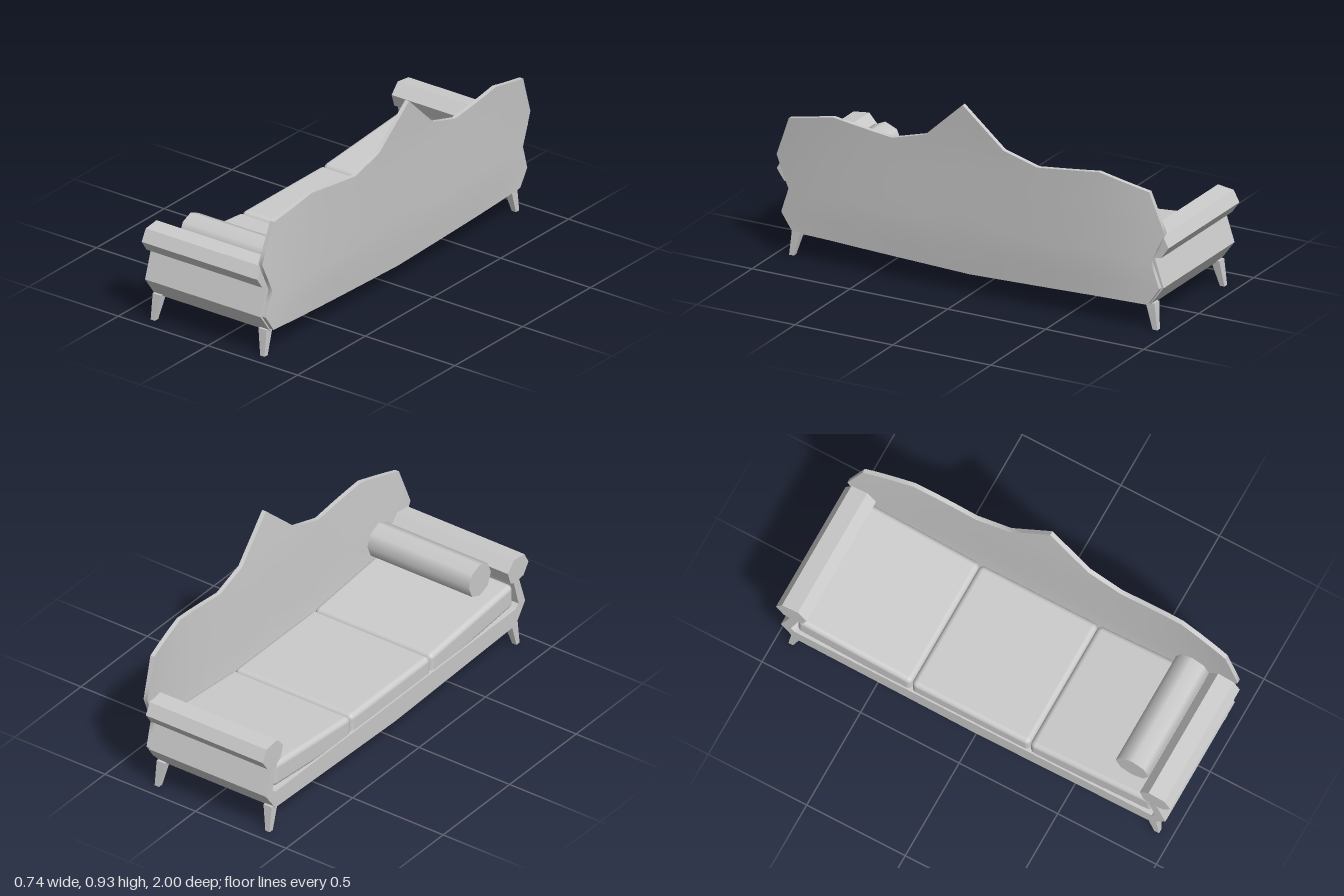
import * as THREE from 'three';
import { toCreasedNormals } from 'three/addons/utils/BufferGeometryUtils.js';
import { RoundedBoxGeometry } from 'three/addons/geometries/RoundedBoxGeometry.js';

const material = new THREE.MeshStandardMaterial({ color: 0xcccccc });

function addMesh(group, name, geometry) {
  const mesh = new THREE.Mesh(geometry, material);
  mesh.name = name;
  group.add(mesh);
  return mesh;
}

// Move every vertex by a rule
function reshape(geometry, rule) {
  const pos = geometry.attributes.position;
  const p = new THREE.Vector3();
  for (let i = 0; i < pos.count; i++) {
    p.fromBufferAttribute(pos, i);
    rule(p);
    pos.setXYZ(i, p.x, p.y, p.z);
  }
  return geometry;
}

// Piecewise linear lookup through [key, value] pairs
function lookup(points, t) {
  for (let i = 1; i < points.length; i++) {
    const [a, va] = points[i - 1], [b, vb] = points[i];
    if (t <= b) return va + (vb - va) * Math.max(0, (t - a) / (b - a));
  }
  return points[points.length - 1][1];
}

// Frame: base and both scroll arms as one extruded cross-section
function frameGeometry() {
  const half = [
    [0.905, 0.115], [0.975, 0.21], [0.93, 0.347], [0.963, 0.352], [1.0, 0.405], [0.97, 0.46],
    [0.89, 0.47], [0.845, 0.42], [0.865, 0.36], [0.89, 0.347], [0.925, 0.22], [0.905, 0.2],
  ];
  const mirrored = half.map(([z, y]) => [-z, y]).reverse();
  const outline = [[0, 0.09], ...half, ...mirrored].map(([z, y]) => new THREE.Vector2(z, y));
  const g = new THREE.ExtrudeGeometry(new THREE.Shape(outline), { depth: 0.645, bevelEnabled: false });
  return g.rotateY(-Math.PI / 2).translate(0.275, 0, 0);
}

// Backrest: thin slab with a waved top, a pointed crest and notched sides
function backGeometry() {
  const W = 0.92, bottomEnd = 0.13, topEnd = 0.67;
  const top = [[0, 0.93], [0.2, 0.745], [0.37, 0.695], [0.68, 0.73], [W, topEnd]];
  const halfWidth = [[0.13, 0.91], [0.21, 0.965], [0.33, 0.925], [0.48, 0.99], [0.67, W]];
  const lean = [[0.1, 0.285], [0.28, 0.305], [0.7, 0.326], [0.93, 0.345]];
  const rightHalf = [0, 0.07, 0.135, 0.2, 0.285, 0.37, 0.48, 0.58, 0.68, 0.77, 0.85, W];
  const columns = [...rightHalf.slice(1).map((z) => -z).reverse(), ...rightHalf];
  const rows = [0.13, 0.17, 0.21, 0.27, 0.33, 0.405, 0.48, 0.54, 0.61, 0.67];
  const nu = columns.length - 1, nv = rows.length - 1;
  const g = reshape(new THREE.BoxGeometry(1, 1, 1, 1, nv, nu), (p) => {
    const s = columns[Math.round((p.z + 0.5) * nu)];
    const row = rows[Math.round((p.y + 0.5) * nv)];
    const v = (row - bottomEnd) / (topEnd - bottomEnd);
    const u = Math.abs(s) / W;
    const low = 0.1 + 0.03 * u;
    const outer = p.x > 0;
    p.y = low + (lookup(top, Math.abs(s)) - low) * v;
    p.z = (s / W) * lookup(halfWidth, row);
    const bow = 1 - Math.min(1, Math.abs(p.z)) ** 4;
    p.x = 0.272 + (lookup(lean, p.y) - 0.272) * bow + (outer ? 0.021 : 0);
  });
  return toCreasedNormals(g, 0.8);
}

// Seat cushion whose outer end rises towards the arm
function cushionGeometry(z0, z1) {
  const g = new RoundedBoxGeometry(0.65, 0.12, z1 - z0, 3, 0.025);
  g.translate(-0.037, 0.222, (z0 + z1) / 2);
  reshape(g, (p) => {
    p.y += 0.085 * Math.max(0, Math.abs(p.z) - 0.3);
  });
  // carry the tilt into the normals
  const pos = g.attributes.position, n = g.attributes.normal, v = new THREE.Vector3();
  const mid = (z0 + z1) / 2;
  const slope = Math.abs(mid) > 0.3 ? 0.085 * Math.sign(mid) : 0;
  for (let i = 0; i < pos.count; i++) {
    v.fromBufferAttribute(n, i);
    v.z -= slope * v.y;
    v.normalize();
    n.setXYZ(i, v.x, v.y, v.z);
  }
  return g;
}

// Leg: straight outer faces, inner faces tapering to the foot
function legGeometry(sx, sz) {
  const edge = sx < 0 ? -0.365 : 0.27;
  const g = reshape(new THREE.BoxGeometry(1, 1, 1), (p) => {
    const upper = p.y > 0;
    const inX = p.x * sx < 0, inZ = p.z * sz < 0;
    p.x = edge - (inX ? sx * (upper ? 0.045 : 0.024) : 0);
    p.z = sz * (0.94 - (inZ ? (upper ? 0.06 : 0.024) : 0) - (!inZ && upper ? 0.015 : 0));
    p.y = upper ? 0.125 : 0;
  });
  return toCreasedNormals(g, 0.5);
}

export function createModel() {
  const sofa = new THREE.Group();
  sofa.name = 'sofa';

  addMesh(sofa, 'frame', frameGeometry());
  addMesh(sofa, 'backrest', backGeometry());

  // Three seat cushions
  const seams = [-0.9, -0.32, 0.28, 0.9];
  for (let i = 0; i < 3; i++) {
    addMesh(sofa, 'seatCushion' + (i + 1), cushionGeometry(seams[i], seams[i + 1]));
  }

  // Bolster pillow beside one arm
  const bolster = new THREE.CylinderGeometry(0.083, 0.083, 0.56, 8);
  bolster.rotateX(0).rotateZ(Math.PI / 2).translate(0, 0.4, 0.757);
  addMesh(sofa, 'bolster', bolster);

  // Legs
  for (const sx of [-1, 1]) {
    for (const sz of [-1, 1]) {
      addMesh(sofa, (sx < 0 ? 'front' : 'rear') + 'Leg', legGeometry(sx, sz));
    }
  }
  return sofa;
}
